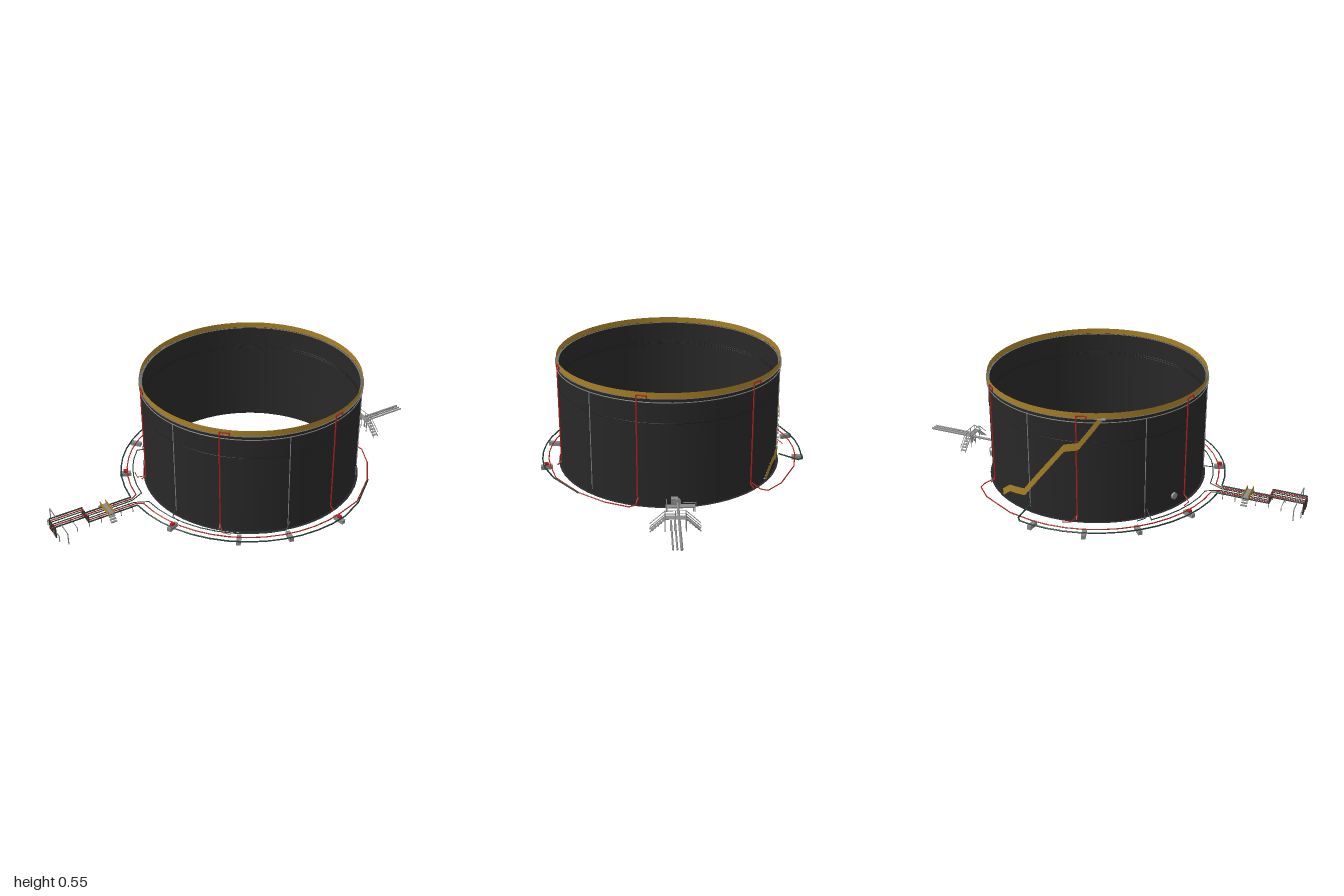
import * as THREE from 'three';
import { mergeGeometries } from 'three/addons/utils/BufferGeometryUtils.js';

const mat = (name, color, side = THREE.FrontSide) => {
  const m = new THREE.MeshStandardMaterial({ color, side });
  m.name = name;
  return m;
};

const CX = 0.047, CZ = 0.017, R = 0.525, TOP = 0.55;
const V = (x, y, z) => new THREE.Vector3(x, y, z);
// Point around the tank axis: angle in degrees from +x towards +z
const polar = (deg, r, y, cx = CX, cz = CZ) => {
  const a = THREE.MathUtils.degToRad(deg);
  return V(cx + r * Math.cos(a), y, cz + r * Math.sin(a));
};

export function createModel() {
  const shell = mat('shell black', 0x282828, THREE.DoubleSide);
  const yellow = mat('safety yellow', 0xa98226, THREE.DoubleSide);
  const red = mat('fire pipe red', 0xb0211c);
  const grey = mat('steel grey', 0x8a8a8a);
  const dark = mat('dark green pipe', 0x1d3a30);
  const black = mat('seam black', 0x181818);
  const mid = mat('walkway grey', 0x6c6c6c, THREE.DoubleSide);
  const model = new THREE.Group();

  const add = (name, geo, material, pos) => {
    const m = new THREE.Mesh(geo, material);
    m.name = name;
    if (pos) m.position.copy(pos);
    model.add(m);
    return m;
  };
  const box = (name, w, h, d, material, x, y, z) =>
    add(name, new THREE.BoxGeometry(w, h, d), material, V(x, y, z));
  // Round bar along a polyline
  const rod = (a, b, r) => {
    const d = b.clone().sub(a), len = d.length();
    const g = new THREE.CylinderGeometry(r, r, len + r * 0.6, 6);
    g.applyQuaternion(new THREE.Quaternion().setFromUnitVectors(V(0, 1, 0), d.normalize()));
    return g.translate((a.x + b.x) / 2, (a.y + b.y) / 2, (a.z + b.z) / 2);
  };
  const pipe = (name, pts, r, material) => {
    const parts = [];
    for (let i = 1; i < pts.length; i++) parts.push(rod(pts[i - 1], pts[i], r));
    return add(name, mergeGeometries(parts), material);
  };
  const arc = (from, to, r, y, step, cx, cz) => {
    const n = Math.max(1, Math.round(Math.abs(to - from) / step));
    return Array.from({ length: n + 1 }, (_, i) => polar(from + (to - from) * i / n, r, y, cx, cz));
  };
  const tube = (name, r, y0, y1, material) =>
    add(name, new THREE.CylinderGeometry(r, r, y1 - y0, 64, 1, true), material, V(CX, (y0 + y1) / 2, CZ));
  const flatRing = (name, r0, r1, y, material) => {
    const m = add(name, new THREE.RingGeometry(r0, r1, 64), material, V(CX, y, CZ));
    m.rotation.x = -Math.PI / 2;
  };

  // Open tank shell, rim band and stiffening rings
  tube('tankShell', R, 0, 0.523, shell);
  tube('rimBand', R + 0.002, 0.521, TOP, yellow);
  flatRing('rimWalkway', R - 0.009, R + 0.008, 0.522, mid);
  flatRing('baseFlange', R, R + 0.012, 0.006, shell);
  pipe('upperGirder', arc(0, 360, R + 0.005, 0.505, 5.625), 0.002, grey);
  pipe('innerSealRing', arc(0, 360, R - 0.002, 0.42, 5.625), 0.0015, black);
  pipe('middleSeam', arc(0, 360, R, 0.408, 5.625), 0.0015, black);
  pipe('middleGirder', arc(-19, 8, R + 0.003, 0.408, 4.5), 0.0025, black);

  // Red risers with a hook over the rim, grey risers between them
  for (let k = 0; k < 6; k++) {
    const a = 17 + 60 * k, r = R + 0.005;
    pipe('redRiser', [polar(a, r + 0.02, 0.025), polar(a, r, 0.04), polar(a, r, 0.535),
      polar(a - 4.8, r, 0.535), polar(a - 4.8, r, 0.522)], 0.0032, red);
    if (k < 5) pipe('greyRiser', [polar(a + 26, R + 0.002, 0.03), polar(a + 26, R + 0.002, 0.505)], 0.002, grey);
  }

  // Pipe rack on the right side feeding rings around both halves of the tank
  const lead = z => [V(-1, 0.002, z), V(-1, 0.06, z), V(-0.84, 0.06, z), V(-0.84, 0.025, z), V(-0.6 + Math.abs(z) * 0.2, 0.025, z)];
  const ringPipe = (name, z, s, r, end, tail, thick, material) =>
    pipe(name, [...lead(z * s), ...arc(180 - 4 * s, end, r, 0.025, 8, 0.04, 0), ...tail], thick, material);
  ringPipe('outerRingFront', 0.036, 1, 0.633, 76, [V(0.31, 0.025, 0.56), V(0.46, 0.025, 0.44)], 0.0035, dark);
  ringPipe('outerRingBack', 0.036, -1, 0.633, 276, [V(0.155, 0.03, -0.628), V(0.172, 0.03, -0.605), V(0.155, 0.055, -0.512)], 0.0035, dark);
  ringPipe('redRingFront', 0.022, 1, 0.603, 76, [V(0.31, 0.025, 0.55), V(0.46, 0.025, 0.435),
    V(0.55, 0.025, 0.32), V(0.6, 0.025, 0.21), V(0.592, 0.03, 0.18), V(0.556, 0.045, 0.168)], 0.0028, red);
  ringPipe('redRingBack', 0.022, -1, 0.603, 276, [V(0.23, 0.025, -0.575), V(0.4, 0.025, -0.49),
    V(0.47, 0.025, -0.42), V(0.465, 0.03, -0.385), V(0.432, 0.045, -0.35)], 0.0028, red);
  ringPipe('innerRingFront', 0.009, 1, 0.575, 104, [polar(102, R + 0.004, 0.045)], 0.0025, dark);
  ringPipe('innerRingBack', 0.009, -1, 0.575, 222, [polar(222, R + 0.004, 0.045)], 0.0025, dark);

  // Branches from the rings to the risers
  for (const [a, s, m] of [[137, 1, red], [163, 1, dark], [197, -1, red], [223, -1, dark], [257, -1, red]])
    pipe('branchPipe', [polar(a - 6 * s, 0.578, 0.025), polar(a - 2 * s, 0.57, 0.025), polar(a, 0.532, 0.04)], 0.0022, m);

  // Ring supports
  [[-0.52, 0.25], [-0.31, 0.49], [-0.1, 0.588], [0.165, 0.605], [-0.52, -0.245],
    [-0.355, -0.465], [-0.145, -0.59], [0.1, -0.612]].forEach(([x, z], i) => {
    const turn = -Math.atan2(z, x - 0.04);
    box('ringSupport', 0.055, 0.02, 0.02, grey, x, 0.01, z).rotation.y = turn;
    if (i === 0 || i === 3 || i === 4) box('supportValve', 0.018, 0.012, 0.016, red, x, 0.026, z).rotation.y = turn;
  });

  // Headers, rack frames and crossover at the pipe inlet
  pipe('inletHeader', [V(-0.97, 0.002, -0.108), V(-0.97, 0.06, -0.108), V(-0.97, 0.06, 0.108), V(-0.97, 0.002, 0.108)], 0.0025, grey);
  pipe('inletHeader', [V(-0.998, 0.002, -0.07), V(-0.998, 0.03, -0.07), V(-0.998, 0.03, 0.07), V(-0.998, 0.002, 0.07)], 0.0025, grey);
  for (const x of [-0.9, -0.84, -0.78, -0.68, -0.62])
    pipe('rackFrame', [V(x, 0, -0.042), V(x, 0.02, -0.042), V(x, 0.02, 0.042), V(x, 0, 0.042)], 0.002, grey);
  box('inletCrossoverDeck', 0.028, 0.004, 0.09, grey, -0.73, 0.032, 0);
  for (const s of [-1, 1]) {
    for (let i = 0; i < 3; i++) box('inletCrossoverStep', 0.03, 0.004, 0.011, grey, -0.73, 0.024 - i * 0.009, s * (0.05 + i * 0.01));
    box('inletCrossoverGuard', 0.002, 0.022, 0.1, yellow, -0.73 + s * 0.014, 0.04, 0);
  }

  // Outlet pipes on the other side with valve platform
  pipe('outletPipe', [V(0.57, 0.05, -0.003), V(1, 0.05, -0.003)], 0.006, grey);
  for (const z of [0.015, 0.032])
    pipe('outletPipe', [V(0.77, 0.003, z), V(0.77, 0.05, z), V(1, 0.05, z)], 0.004, grey);
  for (const x of [0.6, 0.615]) {
    const f = add('outletFlange', new THREE.CylinderGeometry(0.015, 0.015, 0.006, 12), grey, V(x, 0.05, -0.003));
    f.rotation.z = Math.PI / 2;
  }
  box('valveBody', 0.022, 0.03, 0.03, grey, 0.6, 0.052, 0.01);
  box('valvePlatform', 0.026, 0.006, 0.13, grey, 0.597, 0.022, -0.015);
  for (const z of [-0.075, 0.045]) box('valvePlatformLeg', 0.022, 0.022, 0.006, grey, 0.597, 0.011, z);
  pipe('valvePlatformRail', [V(0.608, 0, -0.083), V(0.608, 0.046, -0.083), V(0.608, 0.046, -0.03)], 0.0018, grey);
  pipe('valvePlatformPost', [V(0.608, 0.02, 0.045), V(0.608, 0.065, 0.045)], 0.0018, grey);

  // Stepped crossover above the outlet pipes
  box('crossoverDeck', 0.026, 0.004, 0.09, grey, 0.762, 0.06, 0.012);
  for (const s of [-1, 1]) {
    for (let i = 0; i < 5; i++)
      box('crossoverStep', 0.024, 0.003, 0.011, grey, 0.762, 0.05 - i * 0.011, 0.012 + s * (0.052 + i * 0.012));
    const x = 0.762 + s * 0.013;
    pipe('crossoverRail', [V(x, 0.025, -0.096), V(x, 0.085, -0.033), V(x, 0.085, 0.057), V(x, 0.025, 0.122)], 0.0018, grey);
    pipe('crossoverStringer', [V(x, 0, -0.096), V(x, 0.06, -0.033), V(x, 0.06, 0.057), V(x, 0, 0.122)], 0.0025, grey);
    for (const z of [-0.033, 0.012, 0.057]) pipe('crossoverPost', [V(x, 0, z), V(x, 0.085, z)], 0.0018, grey);
  }

  // Curved stair up the back, sampled from angle and height pairs
  const plan = [[304, 0.02], [297, 0.07], [286, 0.09], [263, 0.365], [256, 0.38], [245, 0.52]];
  const path = [];
  plan.slice(1).forEach(([a1, y1], i) => {
    const [a0, y0] = plan[i], n = Math.ceil((a0 - a1) / 1.5);
    for (let j = 0; j < n; j++) path.push([a0 + (a1 - a0) * j / n, y0 + (y1 - y0) * j / n]);
  });
  path.push(plan[plan.length - 1]);
  // Solid guard following the stair
  const pos = [], idx = [];
  path.forEach(([a, y], i) => {
    pos.push(...polar(a, R + 0.009, y - 0.008).toArray(), ...polar(a, R + 0.009, y + 0.028).toArray());
    if (i) idx.push(2 * i - 2, 2 * i, 2 * i - 1, 2 * i - 1, 2 * i, 2 * i + 1);
  });
  const guard = new THREE.BufferGeometry();
  guard.setAttribute('position', new THREE.Float32BufferAttribute(pos, 3));
  guard.setIndex(idx);
  guard.computeVertexNormals();
  add('stairGuard', guard, yellow);
  for (const [a, y] of path) {
    const p = polar(a, R + 0.004, y);
    box('stairTread', 0.008, 0.003, 0.014, grey, p.x, p.y, p.z).rotation.y = -THREE.MathUtils.degToRad(a);
  }
  const landing = polar(245, R + 0.008, 0.524);
  box('stairLanding', 0.022, 0.004, 0.034, grey, landing.x, landing.y, landing.z).rotation.y = -THREE.MathUtils.degToRad(245);

  // Manhole cover low on the shell
  const hole = add('manhole', new THREE.CylinderGeometry(0.016, 0.016, 0.012, 16), grey, polar(205, R + 0.004, 0.065));
  hole.rotation.set(0, -THREE.MathUtils.degToRad(205), Math.PI / 2, 'YXZ');
  return model;
}
